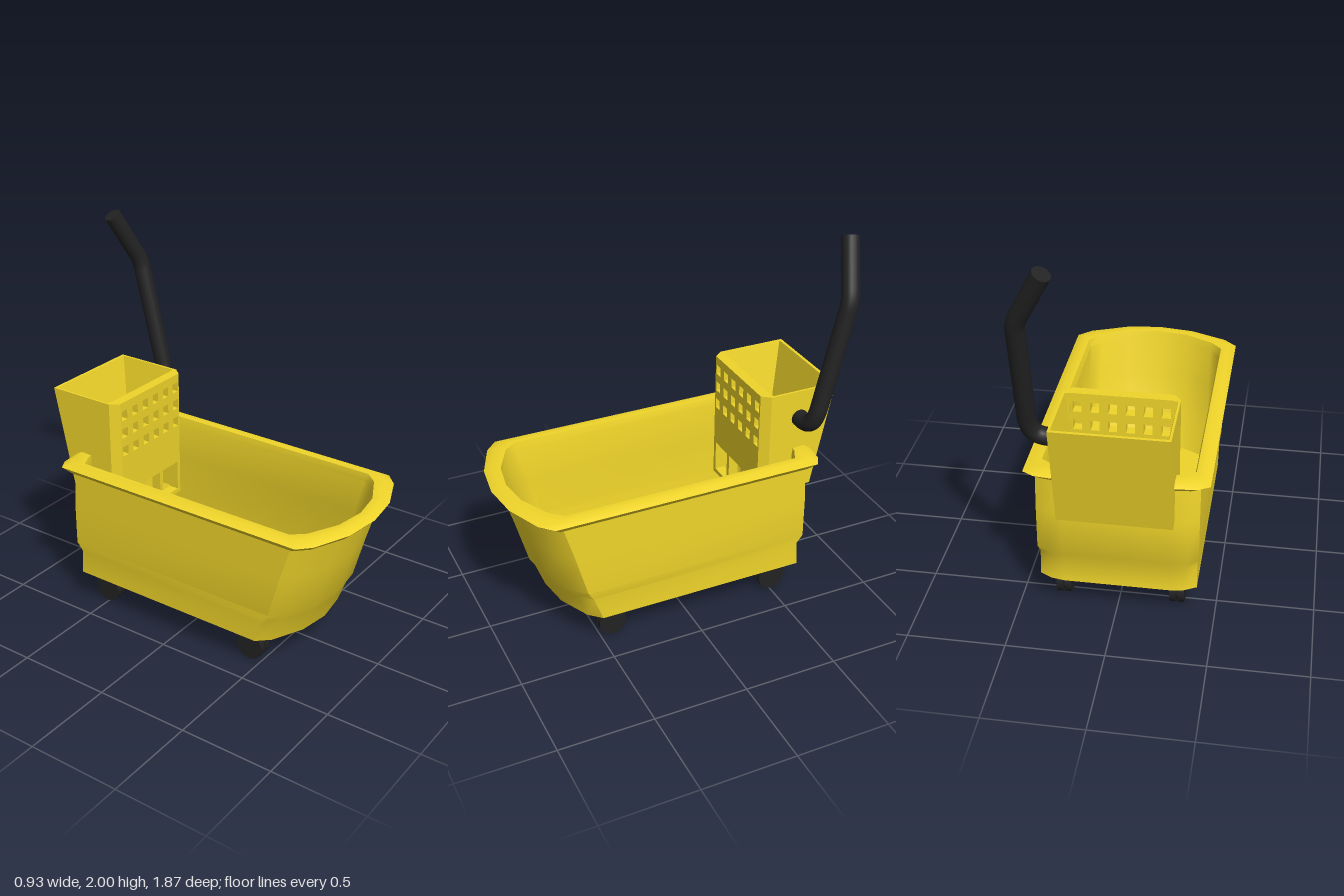
import * as THREE from 'three';
import { toCreasedNormals } from 'three/addons/utils/BufferGeometryUtils.js';

const CX = -0.007; // centre line of the bucket
const yellow = new THREE.MeshStandardMaterial({ color: 0xf0d52a, side: THREE.DoubleSide });
const black = new THREE.MeshStandardMaterial({ color: 0x222222 });

function add(parent, name, geometry, material) {
  const mesh = new THREE.Mesh(geometry, material);
  mesh.name = name;
  parent.add(mesh);
  return mesh;
}

const polygon = (pts) => new THREE.Shape(pts.map(([x, y]) => new THREE.Vector2(x, y)));

const extrude = (shape, depth) => new THREE.ExtrudeGeometry(shape, { depth, bevelEnabled: false });

// Extrude a (z, y) side profile across x, from x0 to x1
function extrudeAcross(profile, x0, x1) {
  const g = extrude(polygon(profile.map(([z, y]) => [-z, y])), x1 - x0);
  return g.rotateY(Math.PI / 2).translate(x0, 0, 0);
}

// Horizontal outline: square-ish back, bowed front, starting at the back on +x
function outline(hx, front, back) {
  const half = [
    [0.27, back], [hx - 0.06, back + 0.012], [hx, back + 0.045], [hx, front - 0.17],
    [hx * 0.85, front - 0.105], [hx * 0.43, front - 0.025],
  ];
  return [...half, [0, front], ...half.slice().reverse().map(([x, z]) => [-x, z])];
}

// Shell from stacked outlines: up the outside, over the rim, down the inside
function tubGeometry() {
  const rings = [ // y, half width, front z, back z
    [0.175, 0.4, 0.68, -0.67], [0.31, 0.4, 0.73, -0.66], [0.36, 0.408, 0.76, -0.69],
    [0.6, 0.408, 0.825, -0.69], [0.785, 0.408, 0.88, -0.675], [0.788, 0.425, 0.9, -0.685],
    [0.825, 0.458, 0.935, -0.725], [0.845, 0.42, 0.9, -0.69], [0.842, 0.38, 0.855, -0.63],
    [0.8, 0.37, 0.845, -0.625], [0.6, 0.37, 0.79, -0.65], [0.36, 0.37, 0.72, -0.65],
    [0.21, 0.36, 0.64, -0.635],
  ];
  const pos = [], idx = [];
  for (const [y, hx, f, b] of rings) for (const [x, z] of outline(hx, f, b)) pos.push(x, y, z);
  const n = 13, last = rings.length - 1;
  for (let r = 0; r < last; r++) {
    for (let i = 0; i < n; i++) {
      if (i === n - 1 && r >= 3 && r < 10) continue; // notch at the back for the wringer
      const a = r * n + i, b = r * n + (i + 1) % n, c = a + n, d = b + n;
      idx.push(a, c, b, b, c, d);
    }
  }
  // underside and inner floor
  const under = pos.length / 3, floor = under + 1;
  pos.push(0, 0.175, 0, 0, 0.21, 0);
  for (let i = 0; i < n; i++) {
    const j = (i + 1) % n;
    idx.push(under, i, j, floor, last * n + j, last * n + i);
  }
  const g = new THREE.BufferGeometry();
  g.setAttribute('position', new THREE.Float32BufferAttribute(pos, 3));
  g.setIndex(idx);
  return toCreasedNormals(g, 0.75);
}

// Four-cornered panel
function quad(a, b, c, d) {
  const g = new THREE.BufferGeometry();
  g.setAttribute('position', new THREE.Float32BufferAttribute([a, b, c, a, c, d].flat(), 3));
  g.computeVertexNormals();
  return g;
}

function rectHole(shape, x, y, w, h) {
  shape.holes.push(polygon([
    [x - w / 2, y - h / 2], [x - w / 2, y + h / 2], [x + w / 2, y + h / 2], [x + w / 2, y - h / 2],
  ]));
}

function buildWringer() {
  const g = new THREE.Group();
  g.name = 'wringer';
  const top = 1.175, low = 0.45;

  // perforated front plate with drain windows at the foot
  const plate = polygon([[-0.25, low], [0.25, low], [0.25, top], [-0.25, top]]);
  for (let c = 0; c < 6; c++) {
    for (const y of [1.1, 1.0, 0.895]) rectHole(plate, (c - 2.5) * 0.087, y, 0.044, 0.054);
  }
  for (const x of [-0.16, 0, 0.16]) rectHole(plate, x, 0.56, 0.135, 0.17);
  add(g, 'frontPlate', extrude(plate, 0.055).translate(0, 0, -0.495), yellow);

  // sloping back plate and bottom
  add(g, 'backPlate', extrudeAcross(
    [[-0.862, top], [-0.845, top], [-0.722, 0.6], [-0.74, 0.6]], -0.287, 0.287), yellow);
  add(g, 'bottom', extrudeAcross(
    [[-0.73, 0.6], [-0.73, 0.62], [-0.495, 0.62], [-0.495, 0.6]], -0.28, 0.28), yellow);

  for (const s of [-1, 1]) {
    // chamfered front corner
    const corner = polygon([
      [s * 0.25, 0.44], [s * 0.287, 0.485], [s * 0.287, 0.5], [s * 0.25, 0.5]]);
    add(g, 'cornerPost', extrude(corner, top - low).rotateX(-Math.PI / 2)
      .scale(1, 1, 1).translate(0, low, 0).applyMatrix4(
        new THREE.Matrix4().makeTranslation(0, 0, 0)), yellow);
    // outer side
    const x = s * 0.281;
    add(g, 'sidePlate', extrudeAcross([
      [-0.49, low], [-0.49, top], [-0.855, top], [-0.735, 0.6], [-0.64, 0.6], [-0.6, low],
    ], x - 0.006, x + 0.006), yellow);
    // inner wall narrowing towards the floor
    add(g, 'innerWall', quad(
      [s * 0.275, top, -0.495], [s * 0.275, top, -0.85],
      [s * 0.165, 0.62, -0.725], [s * 0.25, 0.62, -0.495]), yellow);
  }
  return g;
}

function buildHandle() {
  const g = new THREE.Group();
  g.name = 'handle';
  const P = (x, y) => new THREE.Vector3(x, y, -0.655 - (y - 1.02) * 0.245);
  const path = new THREE.CurvePath();
  path.add(new THREE.LineCurve3(P(0.27, 1.02), P(0.32, 1.02)));
  path.add(new THREE.QuadraticBezierCurve3(P(0.32, 1.02), P(0.415, 1.025), P(0.415, 1.14)));
  path.add(new THREE.LineCurve3(P(0.415, 1.14), P(0.415, 1.66)));
  path.add(new THREE.QuadraticBezierCurve3(P(0.415, 1.66), P(0.415, 1.7), P(0.395, 1.74)));
  path.add(new THREE.LineCurve3(P(0.395, 1.74), P(0.268, 1.978)));
  add(g, 'handleBar', new THREE.TubeGeometry(path, 80, 0.046, 16), black);
  for (const t of [0, 1]) {
    const cap = add(g, 'handleEnd', new THREE.CircleGeometry(0.046, 16), black);
    const p = path.getPointAt(t);
    cap.position.copy(p);
    cap.lookAt(p.clone().addScaledVector(path.getTangentAt(t), t ? 1 : -1));
  }
  return g;
}

function buildCaster() {
  const g = new THREE.Group();
  g.name = 'caster';
  // twin wheels on a narrower hub
  for (const [x, r, w] of [[-0.022, 0.076, 0.033], [0.022, 0.076, 0.033], [0, 0.062, 0.03]]) {
    add(g, 'wheel', new THREE.CylinderGeometry(r, r, w, 20).rotateZ(Math.PI / 2).translate(x, 0.076, 0), black);
  }
  add(g, 'stem', new THREE.CylinderGeometry(0.036, 0.03, 0.06, 12).translate(0, 0.135, 0), black);
  add(g, 'mount', new THREE.CylinderGeometry(0.068, 0.045, 0.028, 4).rotateY(Math.PI / 4)
    .translate(0, 0.163, 0), black);
  return g;
}

export function createModel() {
  const model = new THREE.Group();
  model.name = 'mopBucket';

  add(model, 'tub', tubGeometry(), yellow).position.x = CX;

  const wringer = buildWringer();
  wringer.position.x = CX;
  model.add(wringer, buildHandle());

  for (const x of [-0.293, 0.293]) {
    for (const z of [0.43, -0.51]) {
      const caster = buildCaster();
      caster.position.set(x + CX, 0, z);
      model.add(caster);
    }
  }
  return model;
}
